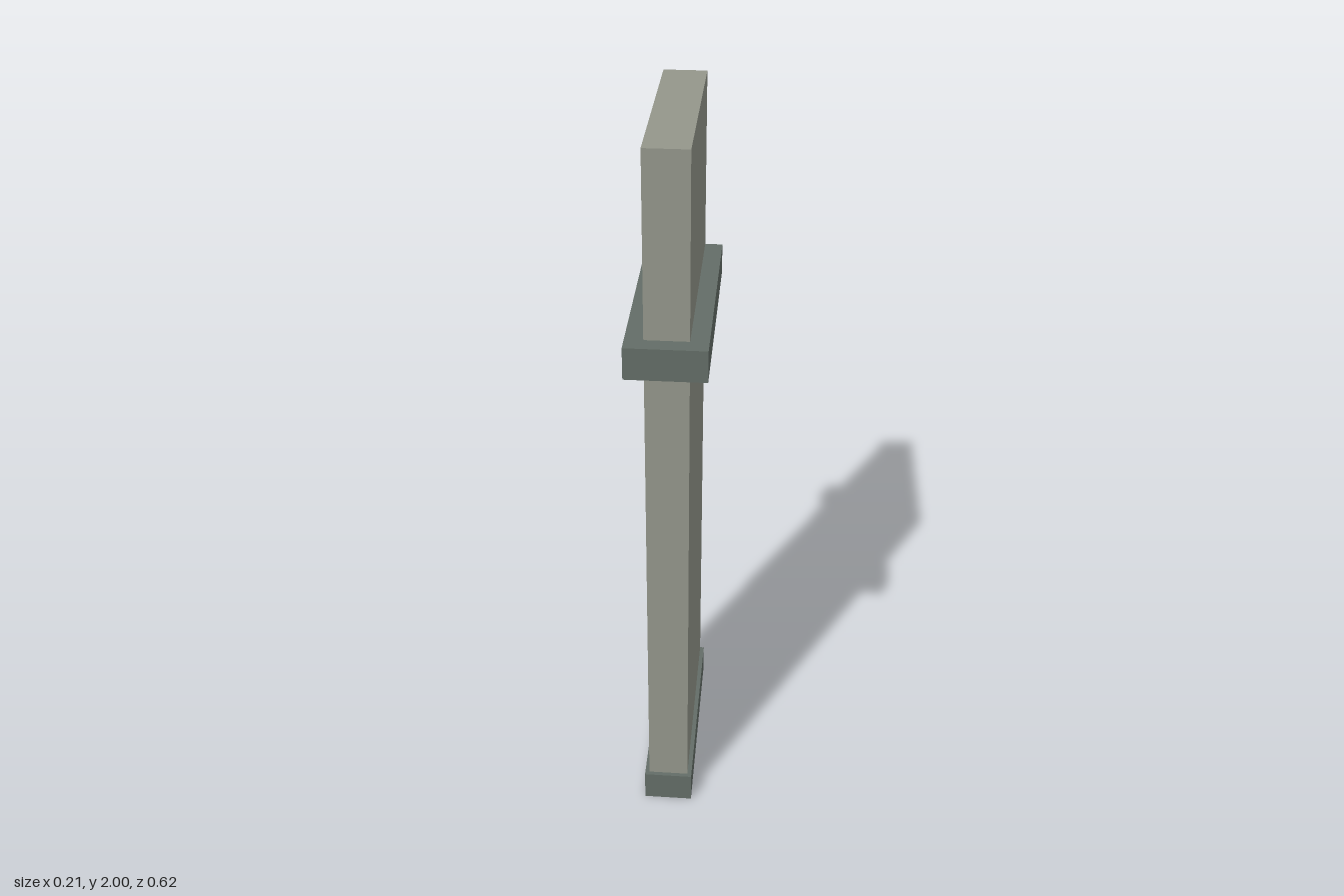
import * as THREE from 'three';

const BACK = -0.308;
const PANEL_HALF = 0.056;
const PANEL_FRONT = 0.263;

export function createModel() {
  const group = new THREE.Group();

  const paleStone = new THREE.MeshStandardMaterial({ color: 0x94968b });
  paleStone.name = 'paleStone';
  const darkStone = new THREE.MeshStandardMaterial({ color: 0x636d67 });
  darkStone.name = 'darkStone';

  // Tall slab, flush with the trims at the back
  const slab = new THREE.Mesh(
    new THREE.BoxGeometry(PANEL_HALF * 2, 2, PANEL_FRONT - BACK), paleStone);
  slab.name = 'slab';
  slab.position.set(0, 1, (PANEL_FRONT + BACK) / 2);
  group.add(slab);

  // U-shaped trim wrapping the sides and front of the slab, open at the back
  function addTrim(name, half, front, y0, y1) {
    const outline = [
      [-half, BACK], [-half, front], [half, front], [half, BACK],
      [PANEL_HALF, BACK], [PANEL_HALF, PANEL_FRONT],
      [-PANEL_HALF, PANEL_FRONT], [-PANEL_HALF, BACK],
    ];
    const shape = new THREE.Shape(outline.map(([x, z]) => new THREE.Vector2(x, -z)));
    const geometry = new THREE.ExtrudeGeometry(shape, { depth: y1 - y0, bevelEnabled: false });
    geometry.rotateX(-Math.PI / 2);
    const trim = new THREE.Mesh(geometry, darkStone);
    trim.name = name;
    trim.position.y = y0;
    group.add(trim);
  }

  addTrim('basePlinth', 0.068, 0.275, 0, 0.09);
  addTrim('corniceBand', 0.103, 0.308, 1.44, 1.525);

  return group;
}
